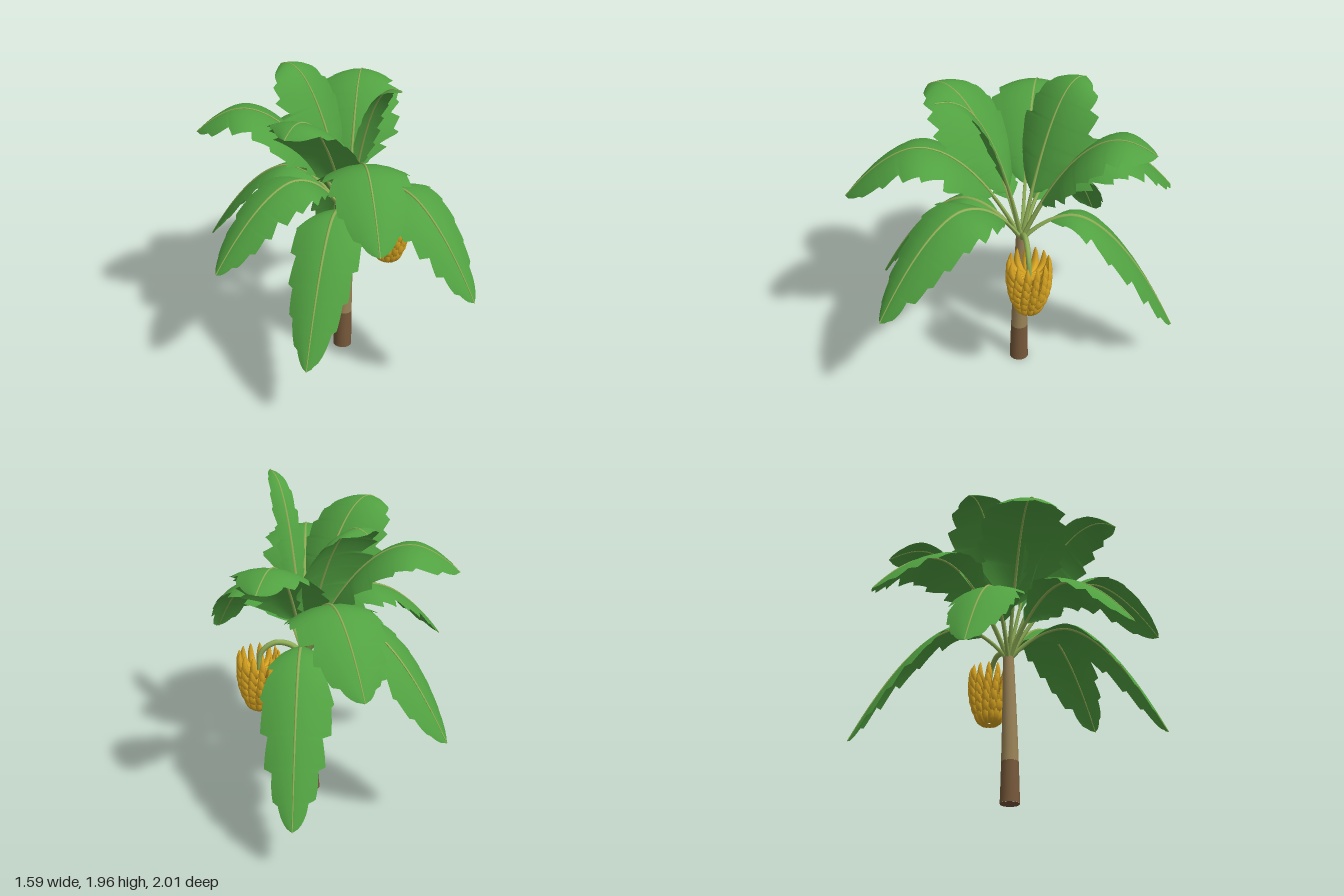
import * as THREE from 'three';

const V = (x, y, z) => new THREE.Vector3(x, y, z);
const mat = (name, color, side = THREE.FrontSide) => {
  const m = new THREE.MeshStandardMaterial({ color, side });
  m.name = name;
  return m;
};

// Small seeded random generator
function seeded(seed) {
  let s = seed * 7919 + 17;
  return () => (s = (s * 16807) % 2147483647) / 2147483647;
}

// Tube whose radius follows radius(t) along the curve
function taperedTube(curve, radius, segments, sides) {
  const geo = new THREE.TubeGeometry(curve, segments, 1, sides);
  const pos = geo.attributes.position;
  const v = V(0, 0, 0);
  for (let i = 0; i <= segments; i++) {
    const c = curve.getPointAt(i / segments);
    const r = radius(i / segments);
    for (let j = 0; j <= sides; j++) {
      const k = i * (sides + 1) + j;
      v.fromBufferAttribute(pos, k).sub(c).multiplyScalar(r).add(c);
      pos.setXYZ(k, v.x, v.y, v.z);
    }
  }
  geo.computeVertexNormals();
  return geo;
}

const CROWN = V(0.18, 0.93, -0.02);

// Leaf spine: rises to an apex, then droops to the tip
function leafCurve({ tip, f, apex, rise = 2 }) {
  const pts = [];
  for (let i = 0; i <= 16; i++) {
    const s = i / 16;
    const y = s < f
      ? apex - (apex - CROWN.y) * Math.pow(1 - s / f, rise)
      : apex - (apex - tip[1]) * Math.pow((s - f) / Math.max(1 - f, 0.001), 1.7);
    pts.push(V(CROWN.x + (tip[0] - CROWN.x) * s, y, CROWN.z + (tip[2] - CROWN.z) * s));
  }
  return new THREE.CatmullRomCurve3(pts);
}

// Torn blade: rows across the spine with a saw-toothed edge on both sides
function bladeGeometry(curve, spec, seed) {
  const rows = 60, half = 3, cols = half * 2 + 1;
  const rnd = seeded(seed);
  const teeth = [0, 1].map(() => ({
    phase: rnd(), count: 6 + rnd() * 3,
    depth: Array.from({ length: 12 }, () => 0.08 + 0.22 * rnd()),
  }));
  const side = V(spec.tip[2] - CROWN.z, 0, -(spec.tip[0] - CROWN.x)).normalize();
  const verts = [], index = [];
  for (let i = 0; i <= rows; i++) {
    const t = i / rows, u = spec.start + (1 - spec.start) * t;
    const p = curve.getPointAt(u), tan = curve.getTangentAt(u);
    const normal = V(0, 0, 0).crossVectors(tan, side).normalize();
    const width = spec.width * Math.pow(Math.min(1, t / 0.28), 0.7)
      * Math.pow(1 - Math.pow(t, spec.taper), 0.65);
    for (let j = -half; j <= half; j++) {
      const edge = teeth[j < 0 ? 0 : 1];
      const saw = t * edge.count + edge.phase;
      const cut = 1 - edge.depth[Math.floor(saw)] * (1 - (saw % 1));
      const v = Math.abs(j) / half * cut;
      const q = p.clone().addScaledVector(side, Math.sign(j) * width * v)
        .addScaledVector(normal, -0.3 * width * v * v);
      verts.push(q.x, q.y, q.z);
    }
  }
  for (let i = 0; i < rows; i++) for (let j = 0; j < cols - 1; j++) {
    const a = i * cols + j, b = a + cols;
    index.push(a, b, a + 1, b, b + 1, a + 1);
  }
  const geo = new THREE.BufferGeometry();
  geo.setAttribute('position', new THREE.Float32BufferAttribute(verts, 3));
  geo.setIndex(index);
  geo.computeVertexNormals();
  return geo;
}

// Tip, apex place along the leaf and height, half width, blade start, taper (high = blunt tip)
const LEAVES = [
  { tip: [0.25, 0.77, 1.0], f: 0.44, apex: 1.3, width: 0.27, start: 0.16, taper: 2.4 },
  { tip: [-0.38, 1.25, 0.86], f: 0.58, apex: 1.57, width: 0.27, start: 0.24, taper: 3.6 },
  { tip: [-0.62, 0.43, 0.52], f: 0.36, apex: 1.14, width: 0.23, start: 0.15, taper: 2.6 },
  { tip: [-0.8, 0.88, -0.08], f: 0.44, apex: 1.32, width: 0.24, start: 0.19, taper: 3 },
  { tip: [-0.5, 1.75, 0.21], f: 0.84, apex: 1.8, width: 0.315, start: 0.25, taper: 3.6 },
  { tip: [-0.51, 1.53, -0.62], f: 0.7, apex: 1.68, width: 0.28, start: 0.25, taper: 4.4 },
  { tip: [0.77, 1.63, -0.53], f: 0.75, apex: 1.7, width: 0.285, start: 0.25, taper: 4.4 },
  { tip: [0.39, 1.1, -1.0], f: 0.53, apex: 1.46, width: 0.28, start: 0.24, taper: 3.8 },
  { tip: [0.73, 0.3, -0.8], f: 0.32, apex: 1.11, width: 0.225, start: 0.15, taper: 3.2 },
  { tip: [-0.25, 0.62, -0.9], f: 0.4, apex: 1.23, width: 0.23, start: 0.18, taper: 3.2 },
  { tip: [0.1, 1.96, 0.5], f: 1, apex: 1.96, rise: 2.5, width: 0.09, start: 0.3, taper: 4 },
  { tip: [0.08, 1.84, -0.54], f: 0.88, apex: 1.86, width: 0.285, start: 0.27, taper: 4.4 },
];

export function createModel() {
  const leafGreen = mat('leafGreen', 0x51a141, THREE.DoubleSide);
  const stalkGreen = mat('stalkGreen', 0x8fae56);
  const trunkTan = mat('trunkTan', 0x9a8357);
  const trunkBrown = mat('trunkBrown', 0x76583a);
  const fruitYellow = mat('fruitYellow', 0xd9a522);

  const tree = new THREE.Group();
  tree.name = 'bananaTree';
  const add = (parent, name, geo, material) => {
    const mesh = new THREE.Mesh(geo, material);
    mesh.name = name;
    parent.add(mesh);
    return mesh;
  };

  // Trunk: slightly leaning, with a darker foot
  const trunkPoint = (y) => V(0.15 + 0.037 * Math.pow(y, 1.4), y, -0.03 + 0.015 * y);
  const trunkRadius = (y) => 0.06 - 0.027 * y;
  const trunkPart = (name, y0, y1, material) => {
    const pts = [0, 1, 2, 3, 4].map((i) => trunkPoint(y0 + (y1 - y0) * i / 4));
    add(tree, name, taperedTube(new THREE.CatmullRomCurve3(pts),
      (t) => trunkRadius(y0 + (y1 - y0) * t), 8, 16), material);
  };
  trunkPart('trunkFoot', 0, 0.26, trunkBrown);
  trunkPart('trunk', 0.26, 0.97, trunkTan);
  const cap = add(tree, 'trunkBottom', new THREE.CircleGeometry(0.06, 16), trunkBrown);
  cap.rotation.x = Math.PI / 2;
  cap.position.copy(trunkPoint(0));

  // Leaves: stalk with midrib, and blade
  LEAVES.forEach((spec, i) => {
    const leaf = new THREE.Group();
    leaf.name = 'leaf' + (i + 1);
    const curve = leafCurve(spec);
    add(leaf, 'stalk', taperedTube(curve, (t) => 0.016 - 0.0125 * Math.pow(t, 0.7), 32, 6), stalkGreen);
    add(leaf, 'blade', bladeGeometry(curve, spec, i + 1), leafGreen);
    tree.add(leaf);
  });

  // Fruit stem: arches out of the crown and down through the bunch
  const stem = new THREE.CatmullRomCurve3([
    V(0.18, 0.93, -0.02), V(0.25, 1.01, 0.015), V(0.34, 1.03, 0.055),
    V(0.415, 0.97, 0.09), V(0.43, 0.85, 0.095), V(0.43, 0.63, 0.095),
  ]);
  add(tree, 'fruitStem', taperedTube(stem, (t) => 0.019 - 0.006 * t, 28, 8), stalkGreen);

  // Bunch: close tiers of fruit curving outward and up
  const bunch = new THREE.Group();
  bunch.name = 'fruitBunch';
  bunch.position.set(0.43, 0, 0.095);
  const perTier = 13;
  [0.08, 0.102, 0.116, 0.123, 0.124, 0.121].forEach((r, k) => {
    const y = 0.603 + k * 0.047;
    const curve = new THREE.CatmullRomCurve3([
      V(0.012, y + 0.012, 0), V(r * 0.6, y + 0.008, 0), V(r * 0.92, y + 0.045, 0),
      V(r, y + 0.095, 0), V(r * 0.97, y + 0.145, 0),
    ]);
    const girth = (t) => 0.003 + 0.021 * Math.pow(Math.sin(Math.PI * (0.06 + 0.93 * t)), 0.75) - 0.002 * t;
    const geo = taperedTube(curve, girth, 10, 6);
    for (let i = 0; i < perTier; i++) {
      add(bunch, 'banana', geo, fruitYellow).rotation.y = (i + k * 0.12) * Math.PI * 2 / perTier;
    }
  });
  tree.add(bunch);
  return tree;
}
